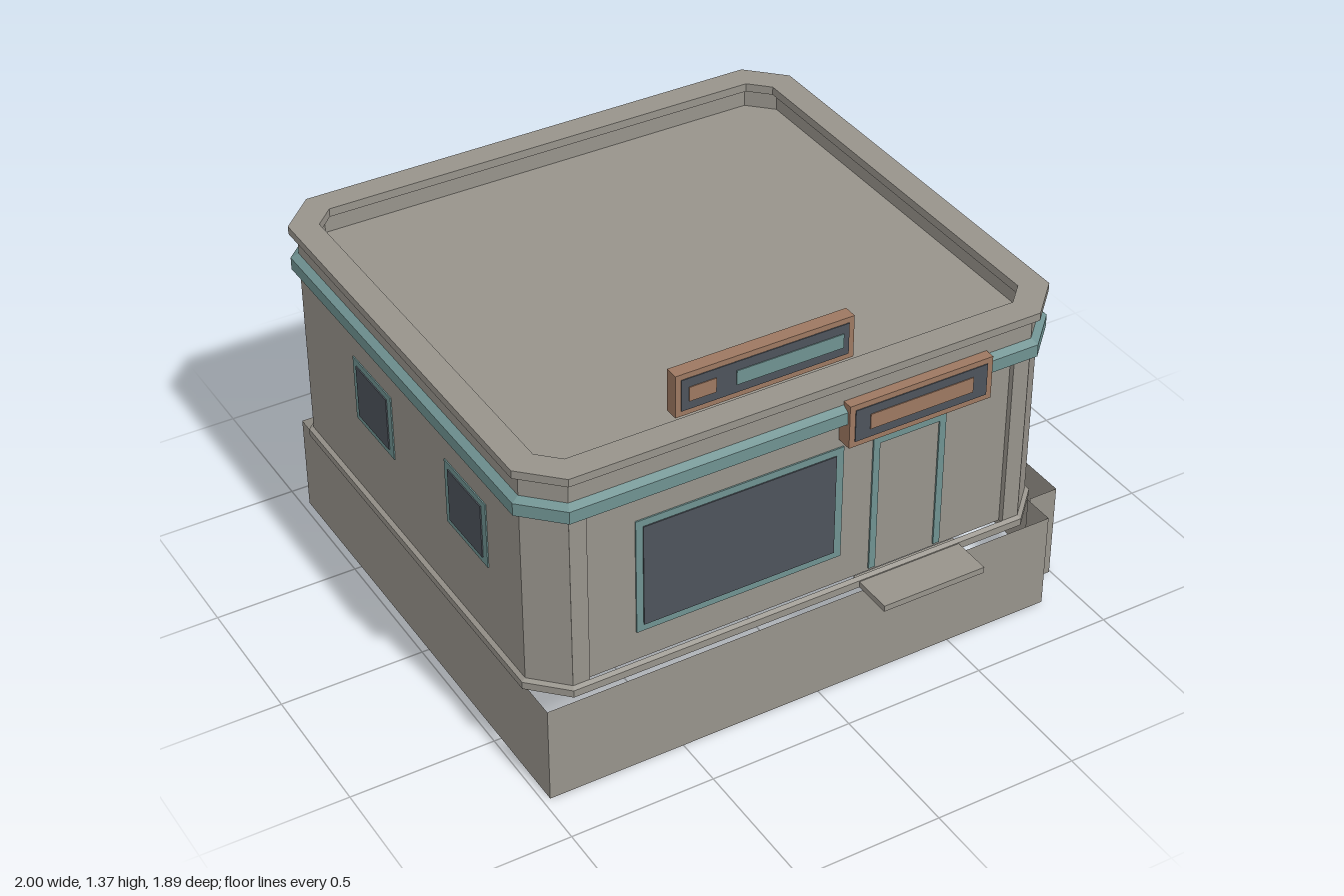
import * as THREE from 'three';

const mat = (name, color) => new THREE.MeshStandardMaterial({ name, color, side: THREE.DoubleSide });
const CX = -0.0475, CZ = -0.065;          // centre of the building plan
const HX = 0.928, HZ = 0.855, CUT = 0.107; // half sizes and corner cut

// Chamfered rectangle, grown by o, running front > right > back > left
function plan(o) {
  const x = HX + o, z = HZ + o, c = CUT + o * 0.586;
  return [[x - c, z], [x, z - c], [x, c - z], [x - c, -z], [c - x, -z], [-x, c - z], [-x, z - c], [c - x, z]]
    .map(([px, pz]) => [px + CX, pz + CZ]);
}

// Wrap a profile of [offset, y] pairs around the plan
function band(profile, skipFront = false) {
  const pos = [];
  for (let k = 0; k < profile.length - 1; k++) {
    const [o0, y0] = profile[k], [o1, y1] = profile[k + 1];
    const lo = plan(o0), hi = plan(o1);
    for (let i = 0; i < (skipFront ? 7 : 8); i++) {
      const j = (i + 1) % 8;
      const a = [lo[i][0], y0, lo[i][1]], b = [lo[j][0], y0, lo[j][1]];
      const c = [hi[j][0], y1, hi[j][1]], d = [hi[i][0], y1, hi[i][1]];
      pos.push(...a, ...b, ...c, ...a, ...c, ...d);
    }
  }
  const g = new THREE.BufferGeometry();
  g.setAttribute('position', new THREE.Float32BufferAttribute(pos, 3));
  g.computeVertexNormals();
  return g;
}

export function createModel() {
  const stone = mat('stone', 0x97938b);
  const teal = mat('tealTrim', 0x6f9291);
  const glass = mat('darkGlass', 0x4d535b);
  const copper = mat('copper', 0x9d7861);
  const root = new THREE.Group();
  root.name = 'building';

  const add = (name, geo, m, parent = root) => {
    const mesh = new THREE.Mesh(geo, m);
    mesh.name = name;
    parent.add(mesh);
    return mesh;
  };
  // Box given by its limits
  const box = (name, m, x0, x1, y0, y1, z0, z1, parent = root) => {
    const mesh = add(name, new THREE.BoxGeometry(x1 - x0, y1 - y0, z1 - z0), m, parent);
    mesh.position.set((x0 + x1) / 2, (y0 + y1) / 2, (z0 + z1) / 2);
    return mesh;
  };

  // Foundation skirt: thin upright sheets with an offset strip on one side
  const skirt = (name, path) => {
    for (let i = 0; i < path.length - 1; i++) {
      const [x0, z0] = path[i], [x1, z1] = path[i + 1];
      const m = add(name, new THREE.PlaneGeometry(Math.hypot(x1 - x0, z1 - z0), 0.35), stone);
      m.position.set((x0 + x1) / 2, 0.175, (z0 + z1) / 2);
      m.rotation.y = Math.atan2(z0 - z1, x1 - x0);
    }
  };
  skirt('foundation', [[0.88, -0.91], [-0.975, -0.91], [-0.975, 0.82], [0.88, 0.82], [0.88, 0.705]]);
  skirt('foundationStrip', [[0.89, 0.705], [0.995, 0.705], [0.995, -0.91], [0.89, -0.91]]);

  // Walls, mouldings and parapet
  add('walls', band([[0, 0.375], [0, 1.03]], true), stone);
  add('baseMoulding', band([[0, 0.352], [0.014, 0.352], [0.014, 0.378], [0, 0.386]]), stone);
  add('tealBand', band([[0, 1.02], [0.025, 1.022], [0.025, 1.066], [0, 1.08]]), teal);
  add('parapet', band([[0, 1.078], [0, 1.145], [0.025, 1.157], [0.025, 1.185],
    [-0.068, 1.185], [-0.068, 1.155], [-0.045, 1.15], [-0.045, 1.08]]), stone);

  // Flat roof
  const roofShape = new THREE.Shape(plan(-0.02).map(([x, z]) => new THREE.Vector2(x, -z)));
  const roof = add('roof', new THREE.ShapeGeometry(roofShape), stone);
  roof.rotation.x = -Math.PI / 2;
  roof.position.y = 1.085;

  // Recessed front with a pier at each end
  const F = 0.77;
  box('frontPanel', stone, -0.87, 0.775, 0.375, 1.03, F - 0.01, F);
  box('frontPier', stone, -0.869, -0.81, 0.375, 1.03, F, 0.79);
  box('frontPier', stone, 0.715, 0.774, 0.375, 1.03, F, 0.79);
  box('doorStep', stone, 0.155, 0.535, 0.352, 0.374, 0.77, 0.945);

  // Shop window and door surround
  box('shopWindowFrame', teal, -0.637, 0.098, 0.483, 0.907, F, F + 0.005);
  box('shopWindowGlass', glass, -0.613, 0.07, 0.508, 0.882, F, F + 0.009);
  box('doorFrameSide', teal, 0.207, 0.231, 0.386, 0.895, F, F + 0.006);
  box('doorFrameSide', teal, 0.453, 0.477, 0.386, 0.895, F, F + 0.006);
  box('doorFrameTop', teal, 0.231, 0.453, 0.871, 0.895, F, F + 0.006);

  // Side windows, turned half round for the opposite wall
  for (const s of [1, -1]) {
    const side = new THREE.Group();
    side.name = s > 0 ? 'leftWindows' : 'rightWindows';
    side.position.set(CX, 0, CZ);
    side.rotation.y = s > 0 ? 0 : Math.PI;
    root.add(side);
    for (const z of [0.232, -0.402]) {
      box('windowFrame', teal, HX, HX + 0.004, 0.667, 0.905, z - 0.134, z + 0.134, side);
      box('windowGlass', glass, HX, HX + 0.008, 0.69, 0.883, z - 0.107, z + 0.107, side);
    }
  }

  // Back door
  box('backDoor', teal, -0.717, -0.495, 0.386, 0.89, CZ - HZ - 0.005, CZ - HZ);

  // Roof sign, panelled on both faces
  const roofSign = new THREE.Group();
  roofSign.name = 'roofSign';
  root.add(roofSign);
  box('roofSignBoard', copper, -0.487, 0.133, 1.217, 1.365, 0.706, 0.753, roofSign);
  box('roofSignPanel', glass, -0.468, 0.114, 1.236, 1.346, 0.703, 0.756, roofSign);
  box('roofSignBlock', copper, -0.442, -0.35, 1.265, 1.315, 0.755, 0.759, roofSign);
  box('roofSignBar', teal, -0.28, 0.094, 1.265, 1.315, 0.755, 0.759, roofSign);

  // Sign over the door
  const doorSign = new THREE.Group();
  doorSign.name = 'doorSign';
  root.add(doorSign);
  box('doorSignBoard', copper, 0.08, 0.604, 0.938, 1.093, 0.735, 0.826, doorSign);
  box('doorSignPanel', glass, 0.1, 0.584, 0.958, 1.073, 0.82, 0.829, doorSign);
  box('doorSignBar', copper, 0.153, 0.531, 0.988, 1.043, 0.823, 0.832, doorSign);

  return root;
}
